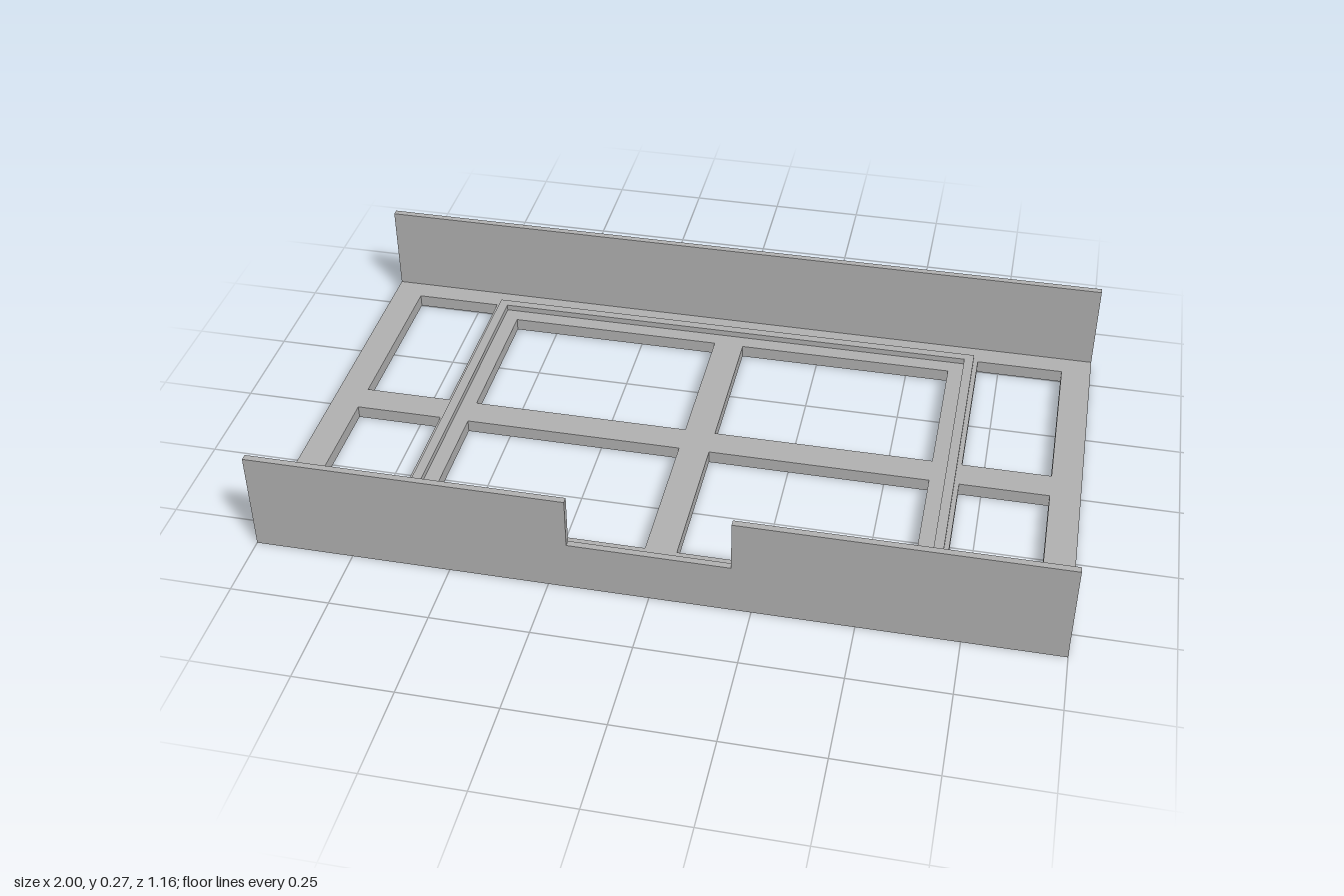
import * as THREE from 'three';

const HALF_X = 1, HALF_Z = 0.578;
const BASE_H = 0.034, WALL_H = 0.267, WALL_T = 0.017;

// Adds a closed rectangle to a shape or path
function rect(path, x0, y0, x1, y1) {
  path.moveTo(x0, y0);
  path.lineTo(x1, y0);
  path.lineTo(x1, y1);
  path.lineTo(x0, y1);
  path.closePath();
  return path;
}

// Flat frame lying in the xz plane, rising from y = 0
function frameGeometry(halfX, halfZ, holes, height) {
  const shape = rect(new THREE.Shape(), -halfX, -halfZ, halfX, halfZ);
  for (const h of holes) shape.holes.push(rect(new THREE.Path(), ...h));
  const geometry = new THREE.ExtrudeGeometry(shape, { depth: height, bevelEnabled: false });
  return geometry.rotateX(-Math.PI / 2);
}

export function createModel() {
  const model = new THREE.Group();
  model.name = 'tray';
  const grey = new THREE.MeshStandardMaterial({ color: 0xb0b0b0 });
  grey.name = 'grey';

  const add = (name, geometry, y = 0, z = 0) => {
    const mesh = new THREE.Mesh(geometry, grey);
    mesh.name = name;
    mesh.position.set(0, y, z);
    model.add(mesh);
  };

  // Base grid: two end windows and two middle windows on each side of the centre bar
  const windows = [];
  for (const [x0, x1, zMax] of [[-0.922, -0.692, 0.501], [-0.615, -0.04, 0.441], [0.04, 0.615, 0.441], [0.692, 0.922, 0.501]]) {
    windows.push([x0, 0.04, x1, zMax], [x0, -zMax, x1, -0.04]);
  }
  add('baseGrid', frameGeometry(HALF_X, HALF_Z, windows, BASE_H));

  // Thin raised lip around the middle windows
  add('raisedLip', frameGeometry(0.68, 0.507, [[-0.655, -0.483, 0.655, 0.483]], 0.016), BASE_H);

  // Plain back wall
  const wallRise = WALL_H - BASE_H;
  add('backWall', new THREE.BoxGeometry(2 * HALF_X, wallRise, WALL_T), BASE_H + wallRise / 2, -HALF_Z + WALL_T / 2);

  // Front wall with a notch cut into its top edge
  const front = new THREE.Shape([
    [-1, BASE_H], [1, BASE_H], [1, WALL_H], [0.2, WALL_H],
    [0.2, 0.133], [-0.2, 0.133], [-0.2, WALL_H], [-1, WALL_H],
  ].map(([x, y]) => new THREE.Vector2(x, y)));
  add('frontWall', new THREE.ExtrudeGeometry(front, { depth: WALL_T, bevelEnabled: false }), 0, HALF_Z - WALL_T);

  return model;
}
